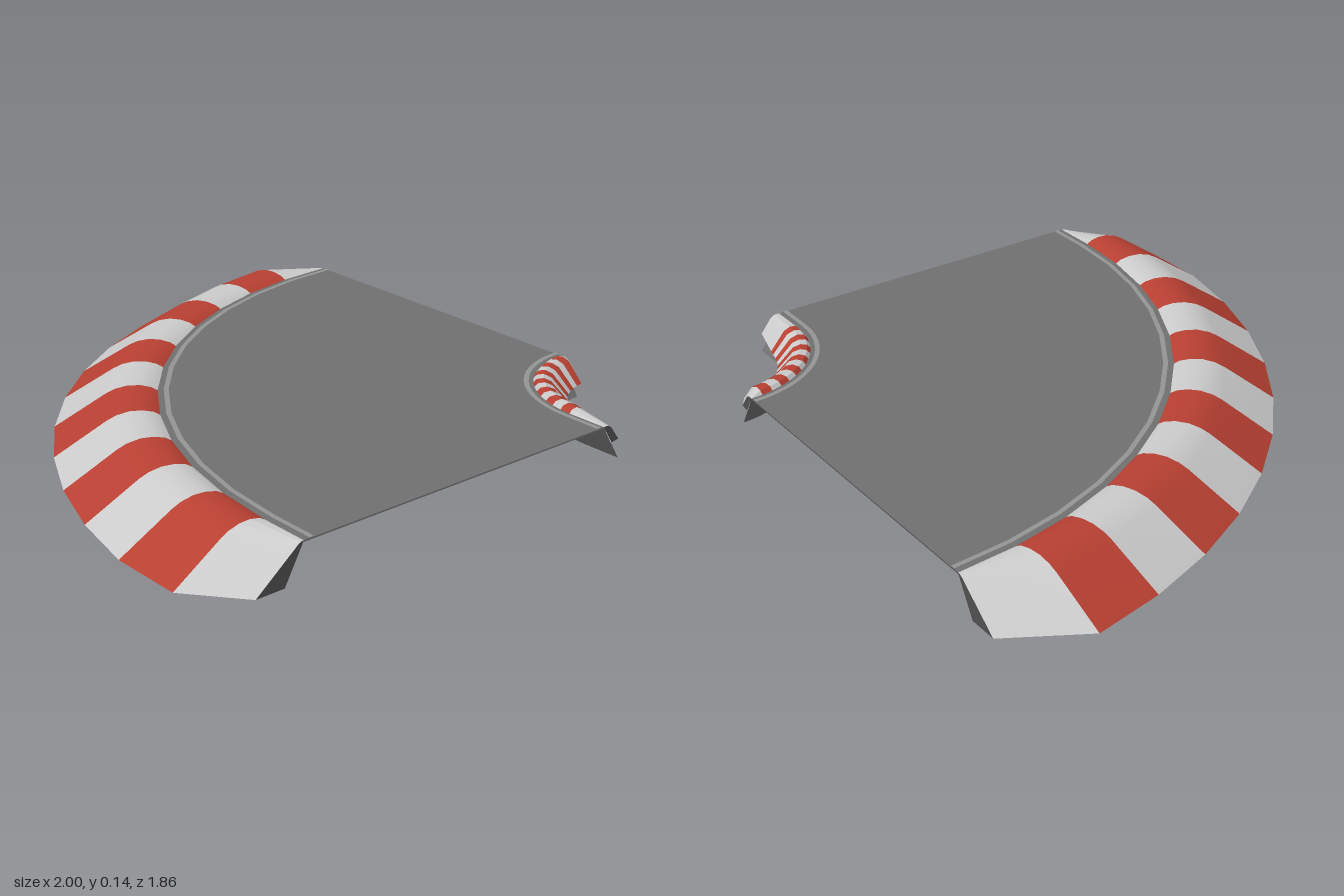
import * as THREE from 'three';
import { toCreasedNormals } from 'three/addons/utils/BufferGeometryUtils.js';

// Centre of the bend; the curve ends in a short straight at x = 1
const CX = 0.87, CZ = -0.93, ARC = THREE.MathUtils.degToRad(88.8);
const OUTER_STEPS = 12, INNER_STEPS = 14;

const paint = (color) => new THREE.MeshStandardMaterial({ color, roughness: 0.9, side: THREE.DoubleSide });

// Point at radius r and height y on station i of n (station n + 1 is the straight end)
function at(i, n, r, y = 0) {
  if (i > n) return [1, y, CZ + r];
  const a = (ARC * i) / n;
  return [CX - r * Math.cos(a), y, CZ + r * Math.sin(a)];
}

function toMesh(name, points, material) {
  const g = new THREE.BufferGeometry();
  g.setAttribute('position', new THREE.Float32BufferAttribute(points.flat(), 3));
  const mesh = new THREE.Mesh(toCreasedNormals(g, 0.55), material);
  mesh.name = name;
  return mesh;
}

// Sweep a (r, y) profile around the bend, keeping only the chosen segments
function sweep(profileAt, n, keep = () => true) {
  const out = [];
  for (let i = 0; i <= n; i++) {
    if (!keep(i)) continue;
    const p = profileAt(i), q = profileAt(i + 1);
    for (let j = 0; j < p.length - 1; j++) {
      const a = at(i, n, ...p[j]), b = at(i, n, ...p[j + 1]);
      const c = at(i + 1, n, ...q[j + 1]), d = at(i + 1, n, ...q[j]);
      out.push(a, b, c, a, c, d);
    }
  }
  return out;
}

// Kerb profile that slims down at both ends of the bend
function tapered(full, end, n) {
  return (i) => {
    const t = i === 0 || i === n + 1 ? 1 : i === n ? 0.13 : 0;
    return full.map(([r, y], j) => [r + (end[j][0] - r) * t, y + (end[j][1] - y) * t]);
  };
}

// Flat road surface, bounded by the two kerbs
function roadSurface(name, y, material) {
  const pts = [];
  const add = (i, n, r) => {
    const [x, , z] = at(i, n, r);
    pts.push(new THREE.Vector2(x, -z));
  };
  for (let i = 0; i <= OUTER_STEPS + 1; i++) add(i, OUTER_STEPS, 1.555);
  for (let i = INNER_STEPS + 1; i >= 0; i--) add(i, INNER_STEPS, 0.357);
  const mesh = new THREE.Mesh(new THREE.ShapeGeometry(new THREE.Shape(pts)).rotateX(-Math.PI / 2), material);
  mesh.position.y = y;
  mesh.name = name;
  return mesh;
}

export function createModel() {
  const model = new THREE.Group();
  model.name = 'curvedTrack';
  const red = paint(0xb84032), white = paint(0xcccccc), asphalt = paint(0x707070);
  const dark = paint(0x505050), line = paint(0x929592);

  // Road
  model.add(roadSurface('roadSurface', 0.122, asphalt));
  model.add(roadSurface('roadUnderside', 0.117, dark));

  // Edge lines
  const edgeLine = (name, r0, r1, n) =>
    model.add(toMesh(name, sweep(() => [[r0, 0.125], [r1, 0.125]], n), line));
  edgeLine('outerEdgeLine', 1.52, 1.536, OUTER_STEPS);
  edgeLine('innerEdgeLine', 0.372, 0.388, INNER_STEPS);

  // Striped kerbs
  const kerb = (name, profile, n) => {
    const group = new THREE.Group();
    group.name = name;
    group.add(toMesh(name + 'Red', sweep(profile, n, (i) => i % 2 === 1), red));
    group.add(toMesh(name + 'White', sweep(profile, n, (i) => i % 2 === 0), white));
    model.add(group);
  };
  const outer = tapered(
    [[1.555, 0.122], [1.575, 0.133], [1.61, 0.14], [1.65, 0.139], [1.69, 0.128], [1.72, 0.112], [1.885, 0], [1.62, 0]],
    [[1.555, 0.122], [1.56, 0.122], [1.568, 0.12], [1.577, 0.114], [1.587, 0.105], [1.6, 0.095], [1.72, 0], [1.62, 0]],
    OUTER_STEPS);
  const inner = tapered(
    [[0.357, 0.122], [0.347, 0.134], [0.325, 0.138], [0.3, 0.128], [0.245, 0.065], [0.316, 0.06]],
    [[0.357, 0.122], [0.35, 0.123], [0.338, 0.122], [0.324, 0.114], [0.285, 0.065], [0.316, 0.06]],
    INNER_STEPS);
  kerb('outerKerb', outer, OUTER_STEPS);
  kerb('innerKerb', inner, INNER_STEPS);

  // Sloping walls below the road edges
  model.add(toMesh('outerWall', sweep(() => [[1.555, 0.12], [1.62, 0]], OUTER_STEPS), asphalt));
  model.add(toMesh('innerWall', sweep(() => [[0.357, 0.12], [0.28, 0]], INNER_STEPS), asphalt));

  // Caps closing the kerb ends
  const caps = [];
  for (const [profile, n] of [[outer, OUTER_STEPS], [inner, INNER_STEPS]]) {
    for (const i of [0, n + 1]) {
      const p = profile(i).map(([r, y]) => at(i, n, r, y));
      for (let j = 0; j < p.length - 2; j++) caps.push(p[p.length - 1], p[j], p[j + 1]);
    }
  }
  model.add(toMesh('kerbEndCaps', caps, dark));
  return model;
}
